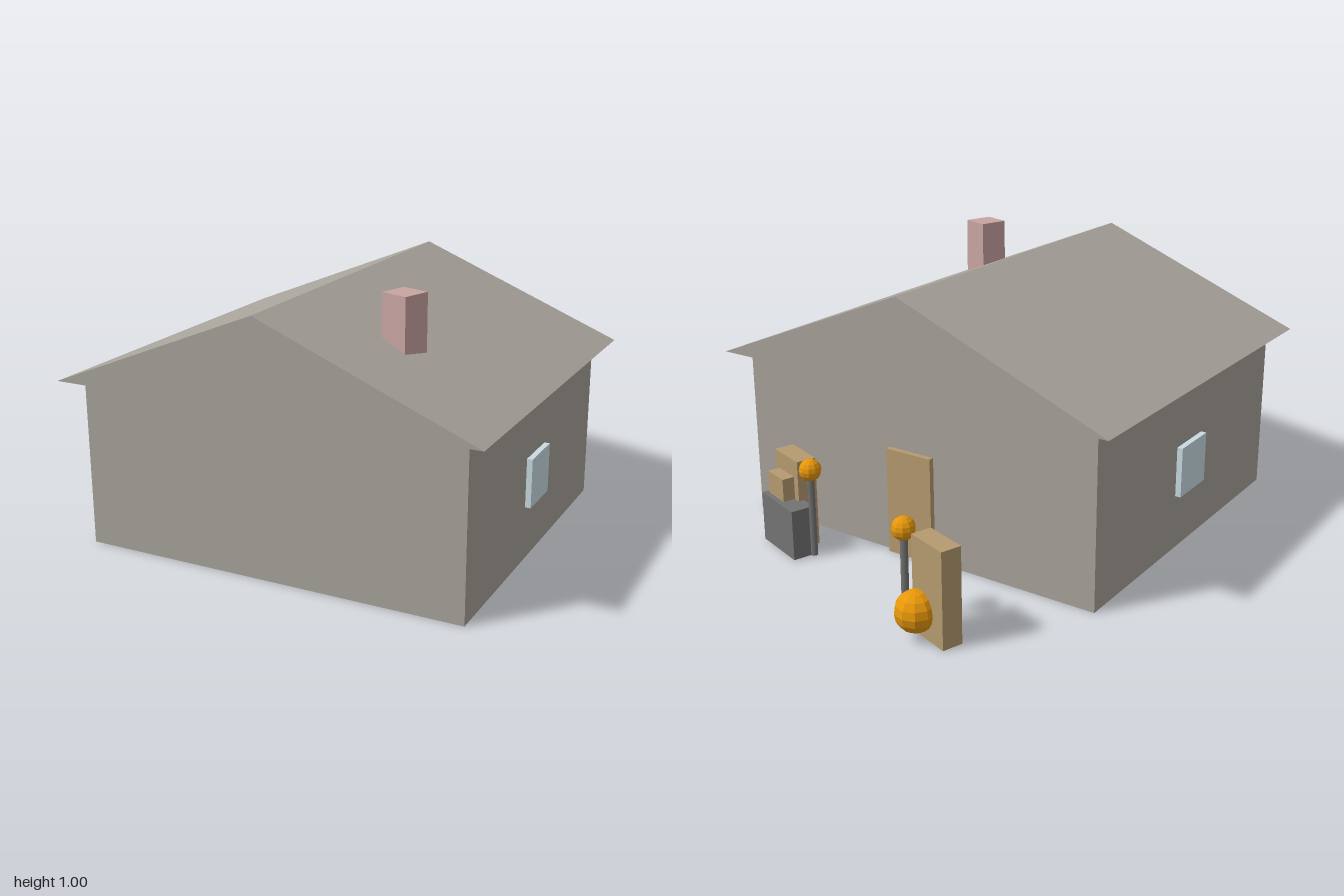
import * as THREE from 'three';

const material = (name, color, flatShading = false) => {
  const m = new THREE.MeshStandardMaterial({ color, flatShading });
  m.name = name;
  return m;
};

export function createModel() {
  const stone = material('stone grey', 0xa8a39b);
  const glass = material('pale glass', 0xc8dce1);
  const brick = material('dusty pink brick', 0xc8a4a2);
  const wood = material('tan wood', 0xb59a70);
  const iron = material('dark grey', 0x737373);
  const amber = material('amber', 0xf5a00b, true);

  const model = new THREE.Group();
  model.name = 'cottage';

  const add = (parent, name, geometry, mat, x, y, z) => {
    const mesh = new THREE.Mesh(geometry, mat);
    mesh.name = name;
    mesh.position.set(x, y, z);
    parent.add(mesh);
    return mesh;
  };
  // Box given by its extents along each axis
  const box = (parent, name, mat, [x0, x1], [y0, y1], [z0, z1]) =>
    add(parent, name, new THREE.BoxGeometry(x1 - x0, y1 - y0, z1 - z0), mat,
      (x0 + x1) / 2, (y0 + y1) / 2, (z0 + z1) / 2);

  // House body, turned on the plot
  const house = new THREE.Group();
  house.name = 'house';
  house.position.z = 0.0275;
  house.rotation.y = 0.32;
  model.add(house);

  box(house, 'walls', stone, [-0.74, 0.74], [0, 0.635], [-0.657, 0.657]);

  // Closed gable roof with the ridge running front to back
  const gable = new THREE.Shape();
  gable.moveTo(-0.812, 0);
  gable.lineTo(0.812, 0);
  gable.lineTo(0, 0.33);
  gable.closePath();
  add(house, 'roof', new THREE.ExtrudeGeometry(gable, { depth: 1.44, bevelEnabled: false }),
    stone, 0, 0.635, -0.72);

  // One window on each side wall, door at the back
  for (const side of [-1, 1]) {
    add(house, side < 0 ? 'rightWindow' : 'leftWindow',
      new THREE.BoxGeometry(0.04, 0.185, 0.19), glass, side * 0.741, 0.2975, 0);
  }
  box(house, 'door', wood, [-0.095, 0.095], [0, 0.395], [-0.677, -0.64]);

  // Chimney stays square to the plot
  box(model, 'chimney', brick, [0.395, 0.503], [0.72, 1.0], [0.167, 0.277]);

  // Lamp posts behind the house
  for (const x of [-0.573, 0.018]) {
    const lamp = new THREE.Group();
    lamp.name = 'lampPost';
    lamp.position.set(x, 0, -0.87);
    add(lamp, 'post', new THREE.CylinderGeometry(0.013, 0.013, 0.31, 8), iron, 0, 0.155, 0);
    add(lamp, 'lampGlobe', new THREE.SphereGeometry(0.04, 10, 8), amber, 0, 0.325, 0);
    model.add(lamp);
  }

  // Tall crates, round bush, and bench with a small crate on top
  for (const x of [-0.72, 0.166]) {
    box(model, 'tallCrate', wood, [x - 0.081, x + 0.081], [0, 0.335], [-0.885, -0.812]);
  }
  add(model, 'roundBush', new THREE.SphereGeometry(0.07, 10, 8), amber, -0.685, 0.095, -0.905);
  box(model, 'bench', iron, [0.02, 0.24], [0, 0.185], [-0.95, -0.865]);
  box(model, 'smallCrate', wood, [0.114, 0.22], [0.185, 0.27], [-0.93, -0.87]);

  return model;
}
